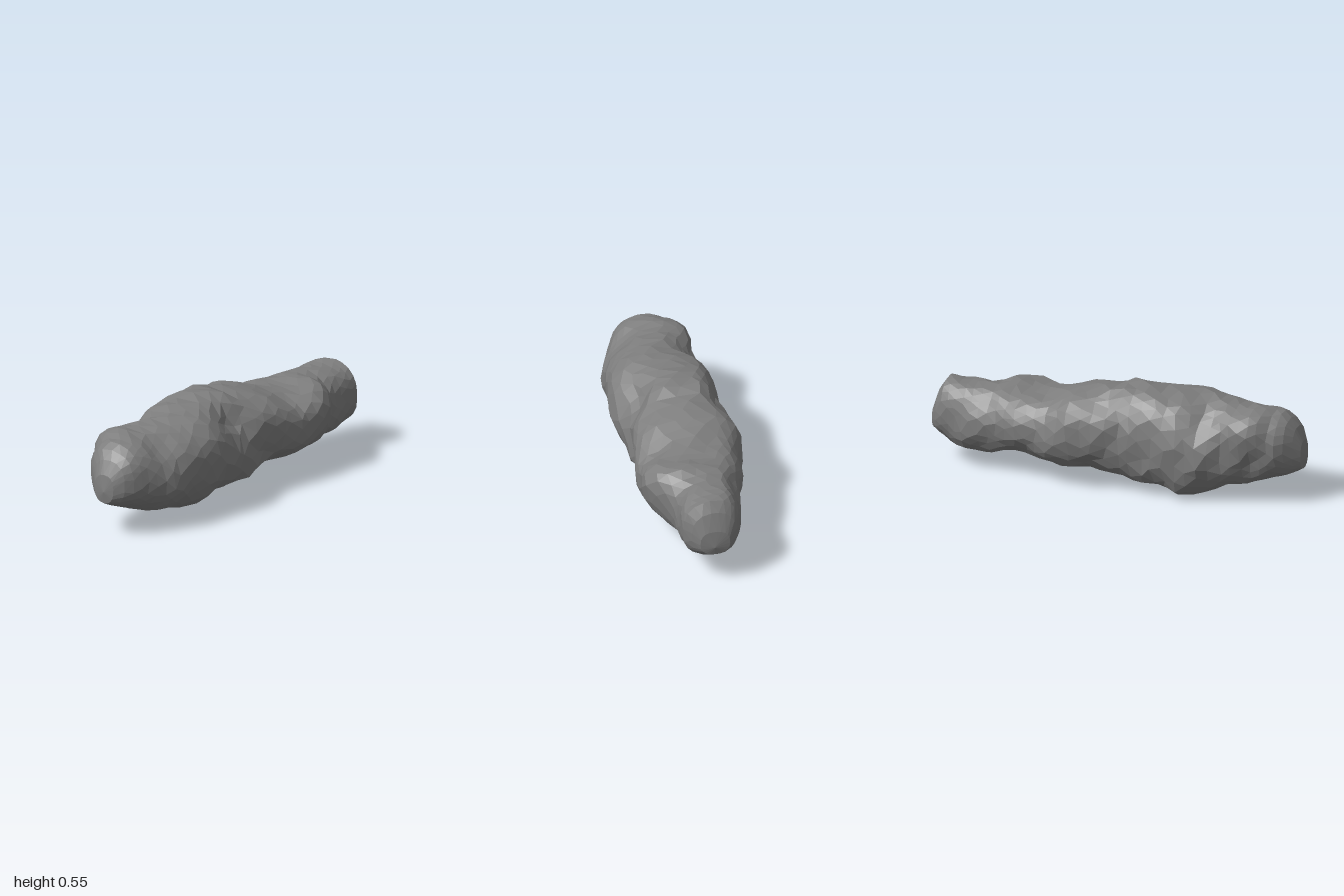
import * as THREE from 'three';

// Cross-sections along the rock: z, xMin, xMax, yMin, yMax
const SECTIONS = [
  [-1.0, -0.03, 0.06, 0.19, 0.25], [-0.985, -0.08, 0.09, 0.17, 0.32], [-0.95, -0.115, 0.13, 0.15, 0.41],
  [-0.92, -0.13, 0.16, 0.135, 0.45], [-0.8, -0.165, 0.16, 0.09, 0.45], [-0.7, -0.19, 0.165, 0.09, 0.445],
  [-0.6, -0.22, 0.22, 0.09, 0.46], [-0.5, -0.255, 0.265, 0.10, 0.44], [-0.4, -0.255, 0.275, 0.10, 0.445],
  [-0.3, -0.27, 0.285, 0.09, 0.465], [-0.2, -0.295, 0.27, 0.09, 0.50], [-0.1, -0.28, 0.26, 0.085, 0.515],
  [0.0, -0.26, 0.25, 0.08, 0.53], [0.07, -0.24, 0.25, 0.07, 0.56], [0.2, -0.24, 0.285, 0.06, 0.55],
  [0.3, -0.255, 0.29, 0.045, 0.535], [0.4, -0.26, 0.295, 0.0, 0.53], [0.5, -0.255, 0.28, 0.035, 0.52],
  [0.6, -0.225, 0.27, 0.07, 0.52], [0.7, -0.225, 0.26, 0.08, 0.505], [0.8, -0.20, 0.22, 0.11, 0.505],
  [0.9, -0.145, 0.17, 0.15, 0.47], [0.95, -0.09, 0.13, 0.17, 0.42], [0.985, -0.05, 0.08, 0.185, 0.35],
  [1.0, -0.02, 0.05, 0.20, 0.29],
];

// Hollows (negative) and swellings (positive): x, y, z, radius, depth
const DENTS = [
  // Upper left shoulder
  [0.22, 0.45, 0.15, 0.12, -0.09], [0.2, 0.45, 0.7, 0.13, -0.05], [0.21, 0.38, -0.53, 0.11, 0.05],
  [0.2, 0.44, -0.33, 0.08, -0.02], [0.18, 0.46, 0.42, 0.10, 0.012],
  // Lower left side
  [0.23, 0.11, 0.03, 0.09, 0.055], [0.23, 0.13, -0.17, 0.09, -0.025], [0.25, 0.21, 0.46, 0.09, -0.03],
  [0.26, 0.24, -0.06, 0.07, -0.025], [0.18, 0.07, 0.36, 0.12, -0.035],
  // Upper right shoulder
  [-0.17, 0.45, 0.71, 0.08, 0.03], [-0.18, 0.46, 0.52, 0.11, -0.05], [-0.18, 0.46, 0.0, 0.06, -0.035],
  [-0.2, 0.43, 0.28, 0.10, 0.015], [-0.17, 0.42, -0.65, 0.09, -0.035],
  // Lower right side
  [-0.16, 0.22, 0.72, 0.13, -0.05], [-0.17, 0.08, 0.36, 0.10, 0.02], [-0.2, 0.11, 0.17, 0.10, 0.03],
  [-0.21, 0.13, -0.1, 0.09, -0.03], [-0.19, 0.15, -0.53, 0.16, -0.045],
];

function sectionAt(z) {
  let i = 0;
  while (i < SECTIONS.length - 2 && SECTIONS[i + 1][0] < z) i++;
  const a = SECTIONS[i], b = SECTIONS[i + 1];
  const t = THREE.MathUtils.clamp((z - a[0]) / (b[0] - a[0]), 0, 1);
  return a.map((v, k) => v + (b[k] - v) * t);
}

// Small repeatable jitter in -0.5..0.5
function jitter(i, j) {
  const s = Math.sin(i * 127.1 + j * 311.7) * 43758.5453;
  return s - Math.floor(s) - 0.5;
}

function rockPoint(z, angle) {
  const [, x0, x1, y0, y1] = sectionAt(z);
  const c = Math.cos(angle), s = Math.sin(angle);
  // Rounded-square outline
  const power = 2 / 2.45;
  const px = Math.sign(c) * Math.abs(c) ** power;
  const py = Math.sign(s) * Math.abs(s) ** power;
  const cx = (x0 + x1) / 2, cy = (y0 + y1) / 2;
  const p = new THREE.Vector3(cx + px * (x1 - x0) / 2, cy + py * (y1 - y0) / 2, z);
  // The crown and the underside lean toward the right
  p.x -= 0.045 * py * py * (1 - px * px) * (1 - z * z);
  // Fine lumps, then the larger hollows
  let push = 0.005 * Math.sin(19 * z + 24 * p.x + 1) * Math.sin(21 * p.y - 13 * z)
    + 0.004 * Math.sin(31 * z - 17 * p.y + 15 * p.x);
  for (const [x, y, dz, r, depth] of DENTS) {
    const d2 = (p.x - x) ** 2 + (p.y - y) ** 2 + (z - dz) ** 2;
    push += depth * Math.exp(-d2 / (r * r));
  }
  push *= Math.min(1, (1 - Math.abs(z)) * 8);
  p.x += c * push;
  p.y = Math.max(0, p.y + s * push);
  return p;
}

function rockGeometry(rings = 38, sides = 20) {
  const points = [], index = [];
  for (let i = 0; i <= rings; i++) {
    // Rings crowd together toward the rounded ends
    const t = i / rings * 2 - 1;
    const base = 0.988 * (0.6 * t + 0.4 * Math.sin(t * Math.PI / 2));
    const inner = i > 1 && i < rings - 1;
    for (let j = 0; j < sides; j++) {
      const z = base + (inner ? jitter(i, j) * 0.03 * (1 - base * base) : 0);
      const a = (j + (i % 2) / 2 + jitter(j + 50, i) * 0.4) / sides * Math.PI * 2;
      points.push(...rockPoint(z, a).toArray());
    }
  }
  for (let i = 0; i < rings; i++) {
    for (let j = 0; j < sides; j++) {
      const k = (j + 1) % sides;
      const a = i * sides + j, b = i * sides + k;
      const c = a + sides, d = b + sides;
      if (i % 2) index.push(a, d, c, a, b, d);
      else index.push(a, b, c, b, d, c);
    }
  }
  // Close both ends
  const back = points.length / 3;
  points.push(0.01, 0.22, -1, 0.02, 0.25, 1);
  for (let j = 0; j < sides; j++) {
    const k = (j + 1) % sides;
    index.push(back, k, j, back + 1, rings * sides + j, rings * sides + k);
  }
  const geometry = new THREE.BufferGeometry();
  geometry.setAttribute('position', new THREE.Float32BufferAttribute(points, 3));
  geometry.setIndex(index);
  geometry.computeVertexNormals();
  return geometry;
}

export function createModel() {
  const group = new THREE.Group();
  group.name = 'elongatedRock';
  const material = new THREE.MeshStandardMaterial({ color: 0x7e7e7e, flatShading: true });
  const rock = new THREE.Mesh(rockGeometry(), material);
  rock.name = 'rockBody';
  group.add(rock);
  return group;
}
